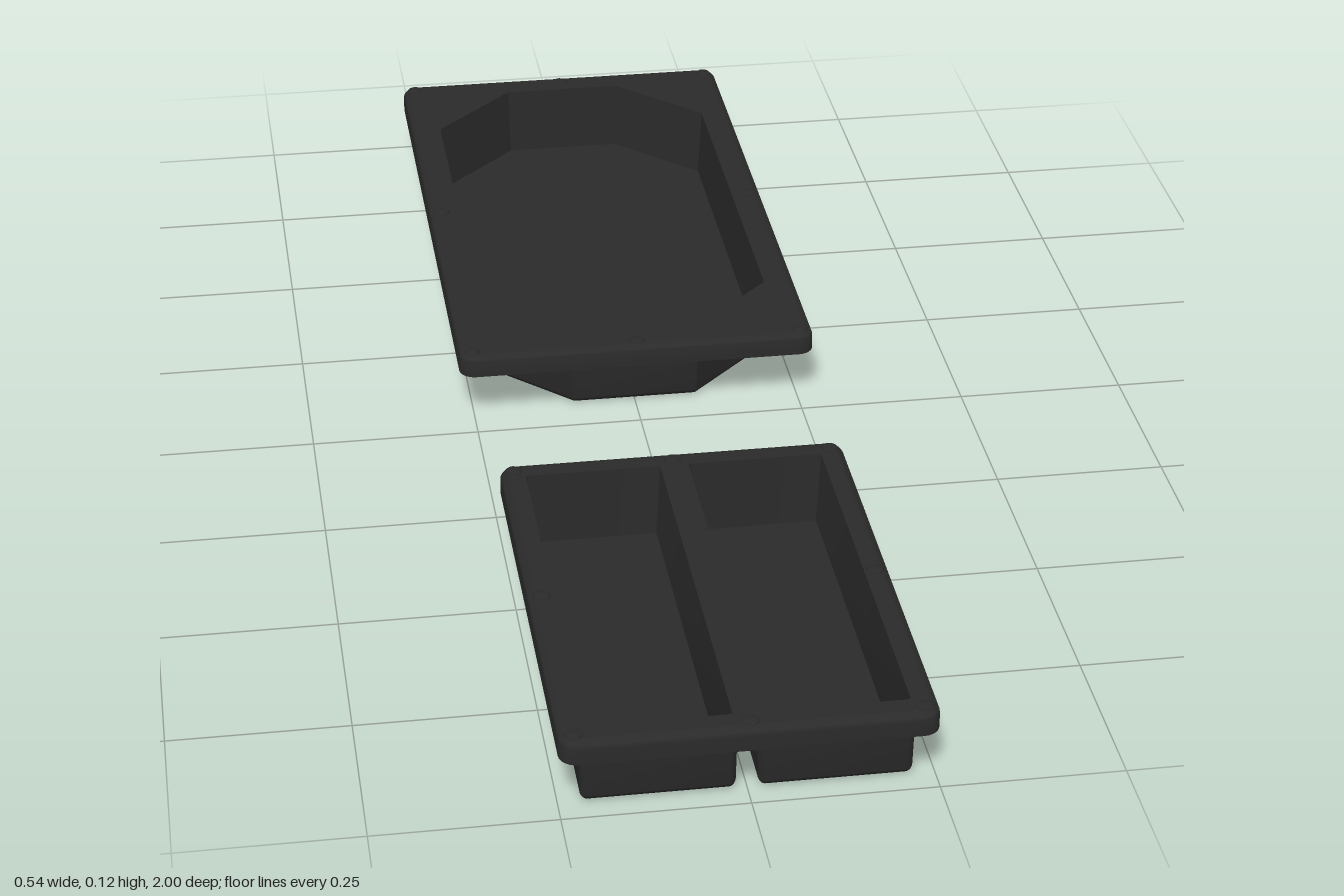
import * as THREE from 'three';
import { toCreasedNormals } from 'three/addons/utils/BufferGeometryUtils.js';

const TOP = 0.117, SKIRT = 0.083, WALL = 0.008;
const plastic = new THREE.MeshStandardMaterial({ color: 0x2a2a2a });
plastic.name = 'black plastic';

// Outline of a rectangle inset by d: chamfered corners if cut is set, otherwise rounded
function outline({ cx, cz, hx, hz, r = 0, cut = 0 }, d) {
  const x = hx - d, z = hz - d, pts = [];
  const c = cut - 0.586 * d, rr = Math.max(r - d, 0.002);
  for (let q = 0; q < 4; q++) {
    const sx = q === 0 || q === 3 ? 1 : -1, sz = q < 2 ? 1 : -1;
    if (cut) {
      const ends = [[x, z - c], [x - c, z]];
      if (q % 2) ends.reverse();
      ends.forEach(([a, b]) => pts.push([cx + sx * a, cz + sz * b]));
    } else {
      for (let i = 0; i <= 6; i++) {
        const a = (q + i / 6) * Math.PI / 2;
        pts.push([cx + sx * (x - rr) + rr * Math.cos(a), cz + sz * (z - rr) + rr * Math.sin(a)]);
      }
    }
  }
  return pts;
}

// Skin through outlines; each profile entry is [inset, y], a null inset closes at the centre
function loft(base, profile) {
  const loops = profile.map(([d, y]) =>
    outline(base, d ?? 0).map(([x, z]) => d === null ? [base.cx, y, base.cz] : [x, y, z]));
  const pos = [], n = loops[0].length;
  for (let i = 0; i < loops.length - 1; i++) {
    for (let j = 0; j < n; j++) {
      const k = (j + 1) % n, a = loops[i][j], b = loops[i][k], c = loops[i + 1][k], e = loops[i + 1][j];
      if (profile[i][0] !== null) pos.push(...a, ...b, ...c);
      if (profile[i + 1][0] !== null) pos.push(...a, ...c, ...e);
    }
  }
  const g = new THREE.BufferGeometry();
  g.setAttribute('position', new THREE.Float32BufferAttribute(pos, 3));
  return toCreasedNormals(g, 0.6);
}

// Flat sheet with openings, facing up or down
function sheet(base, inset, holes, y, up) {
  const s = up ? -1 : 1;
  const path = (b, d) => outline(b, d).map(([x, z]) => new THREE.Vector2(x, s * z));
  const shape = new THREE.Shape(path(base, inset));
  holes.forEach(h => shape.holes.push(new THREE.Path(path(h, up ? WALL : 0))));
  return new THREE.ShapeGeometry(shape).rotateX(s * Math.PI / 2).translate(0, y, 0);
}

// Quarter-round profile points from [d0 + r, y0] to [d0, y0 + dir * r]
function arc(d0, y0, r, dir, steps = 6) {
  return Array.from({ length: steps + 1 }, (_, i) => {
    const a = i / steps * Math.PI / 2;
    return [d0 + r * (1 - Math.sin(a)), y0 + dir * r * (1 - Math.cos(a))];
  });
}

function tray(name, rim, basins) {
  const group = new THREE.Group();
  group.name = name;
  const add = (part, geometry) => {
    const mesh = new THREE.Mesh(geometry, plastic);
    mesh.name = part;
    group.add(mesh);
  };
  // Rolled rim with a hollow skirt
  add('rimSkirt', loft(rim, [
    ...arc(0, TOP, 0.012, -1), [0, SKIRT], [0.007, SKIRT], [0.007, TOP - WALL]]));
  add('rimTop', sheet(rim, 0.012, basins, TOP, true));
  add('rimUnderside', sheet(rim, 0.007, basins, TOP - WALL, false));
  // Compartments, inner and outer skins
  basins.forEach(b => {
    add('basinInside', loft(b, [[null, WALL], [WALL + 0.006, WALL], [WALL, TOP]]));
    add('basinOutside', loft(b, [
      [0, TOP - WALL], ...arc(0.002, 0, 0.014, 1).reverse(), [null, 0]]));
  });
  // Low stacking nubs around the rim
  for (const i of [-1, 0, 1]) for (const j of [-1, 0, 1]) {
    if (!i && !j) continue;
    const nub = new THREE.SphereGeometry(0.012, 16, 4, 0, Math.PI * 2, 0, Math.PI / 2);
    nub.scale(1, 0.22, 1);
    nub.translate(rim.cx + i * (rim.hx - 0.02), TOP, rim.cz + j * (rim.hz - 0.02));
    add('stackingNub', nub);
  }
  return group;
}

export function createModel() {
  const model = new THREE.Group();
  model.name = 'trays';
  model.add(tray('largeTray',
    { cx: 0, cz: -0.511, hx: 0.272, hz: 0.489, r: 0.024 },
    [{ cx: 0, cz: -0.509, hx: 0.232, hz: 0.448, cut: 0.135 }]));
  model.add(tray('dividedTray',
    { cx: 0, cz: 0.648, hx: 0.25, hz: 0.352, r: 0.024 },
    [-1, 1].map(s => ({ cx: s * 0.1175, cz: 0.648, hx: 0.105, hz: 0.323, r: 0.012 }))));
  return model;
}
